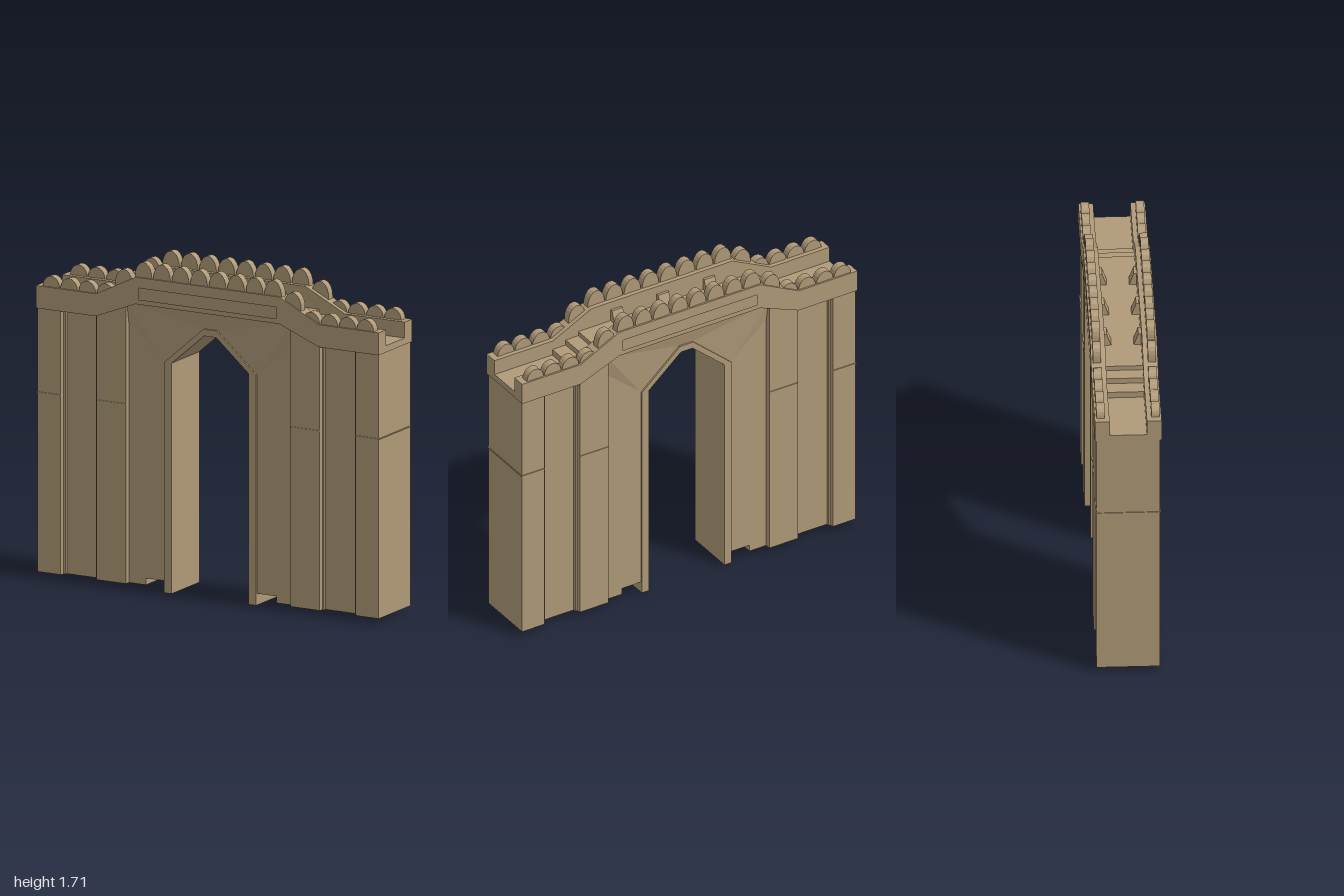
import * as THREE from 'three';

export function createModel() {
  const model = new THREE.Group();
  model.name = 'gateway';
  const stone = new THREE.MeshStandardMaterial({ color: 0xb09a78, flatShading: true });
  stone.name = 'sandstone';

  const add = (name, geometry, parent = model) => {
    const mesh = new THREE.Mesh(geometry, stone);
    mesh.name = name;
    parent.add(mesh);
    return mesh;
  };
  const outline = (pts) => new THREE.Shape(pts.map(([x, y]) => new THREE.Vector2(x, y)));
  // Full outline from its right half, listed from one centre end to the other
  const mirrored = (half) => [...half, ...half.slice().reverse().map(([x, y]) => [-x, y])];
  const slab = (shape, z0, z1) =>
    new THREE.ExtrudeGeometry(shape, { depth: z1 - z0, bevelEnabled: false }).translate(0, 0, z0);
  const box = (x0, x1, y0, y1, z0, z1) =>
    new THREE.BoxGeometry(Math.abs(x1 - x0), y1 - y0, z1 - z0)
      .translate((x0 + x1) / 2, (y0 + y1) / 2, (z0 + z1) / 2);

  // Piers: stepped plan with outer buttress, recessed panel and pilaster
  const planHalf = [
    [0.995, 0.16], [0.86, 0.16], [0.855, 0.14], [0.845, 0.14], [0.845, 0.125],
    [0.665, 0.125], [0.665, 0.14], [0.655, 0.14], [0.65, 0.16],
    [0.48, 0.16], [0.48, 0.13], [0.38, 0.13],
  ];
  const plan = [...planHalf, ...planHalf.slice().reverse().map(([x, z]) => [x, -z])];
  for (const s of [1, -1]) {
    const pier = new THREE.Group();
    pier.name = s > 0 ? 'leftPier' : 'rightPier';
    model.add(pier);
    const body = slab(outline(plan.map(([x, z]) => [x * s, z])), 0.025, 1.42);
    add('pierBody', body.rotateX(-Math.PI / 2), pier);
    const head = outline([[0.65, 1.4], [0.48, 1.4], [0.48, 1.5], [0.65, 1.43]].map(([x, y]) => [x * s, y]));
    add('pilasterHead', slab(head, -0.16, 0.16), pier);
    // Thin string courses
    add('buttressBand', box(s * 0.86, s * 0.999, 0.956, 0.962, -0.165, 0.165), pier);
    add('pilasterBand', box(s * 0.48, s * 0.65, 0.956, 0.962, -0.164, 0.164), pier);
  }

  // Wall around the arch
  add('archWall', slab(outline(mirrored([
    [0.04, 1.38], [0.24, 1.2], [0.24, 0.06], [0.38, 0.06], [0.38, 1.42], [0.48, 1.42], [0.48, 1.5],
  ])), -0.13, 0.13));

  // Projecting arch surround, reaching the ground
  add('archFrame', slab(outline(mirrored([
    [0.035, 1.365], [0.225, 1.2], [0.225, 0.0], [0.268, 0.0], [0.268, 1.2], [0.04, 1.4],
  ])), -0.14, 0.14));

  // Walkway with steps down to both ends
  add('walkway', slab(outline(mirrored([
    [0.4, 1.52], [0.5, 1.52], [0.5, 1.495], [0.575, 1.495], [0.575, 1.465],
    [0.655, 1.465], [0.655, 1.432], [0.999, 1.432], [0.999, 1.398], [0.65, 1.398], [0.4, 1.47],
  ])), -0.1, 0.1));

  // Merlon with an arched head
  const merlon = (x, base, h) => {
    const pts = [];
    for (let i = 0; i <= 10; i++) {
      const a = (i / 10) * Math.PI;
      pts.push([x + 0.05 * Math.cos(a), base + h * Math.sin(a)]);
    }
    pts.push([x - 0.05, base - 0.03], [x + 0.05, base - 0.03]);
    return slab(outline(pts), 0.118, 0.16);
  };

  const parapetPts = mirrored([
    [0.42, 1.63], [0.65, 1.515], [1, 1.515], [1, 1.398], [0.65, 1.398], [0.42, 1.49],
  ]);
  const spandrelPts = [
    [0.48, 1.49, 0.15], [-0.48, 1.49, 0.15],
    [-0.48, 1.38, 0.131], [-0.268, 1.2, 0.131], [-0.04, 1.4, 0.131],
    [0.04, 1.4, 0.131], [0.268, 1.2, 0.131], [0.48, 1.38, 0.131],
  ];

  for (const side of ['front', 'back']) {
    const face = new THREE.Group();
    face.name = side + 'Face';
    if (side === 'back') face.rotation.y = Math.PI;
    model.add(face);

    // Parapet with a long sunken panel
    add('parapetCore', slab(outline(parapetPts), 0.094, 0.152), face);
    const skin = outline(parapetPts);
    skin.holes.push(new THREE.Path([
      [-0.4, 1.515], [-0.4, 1.575], [0.4, 1.575], [0.4, 1.515],
    ].map(([x, y]) => new THREE.Vector2(x, y))));
    add('parapetSkin', slab(skin, 0.152, 0.169), face);

    // Sloping spandrel facets over the arch
    const spandrel = new THREE.BufferGeometry();
    spandrel.setAttribute('position', new THREE.Float32BufferAttribute(spandrelPts.flat(), 3));
    spandrel.setIndex([1, 2, 3, 1, 3, 4, 1, 4, 5, 1, 5, 0, 0, 5, 6, 0, 6, 7]);
    const flat = spandrel.toNonIndexed();
    flat.computeVertexNormals();
    add('spandrel', flat, face);

    // Merlons: eight on top, then stepping down each side
    for (let i = 0; i < 8; i++) add('topMerlon', merlon((i - 3.5) * 0.108, 1.63, 0.08), face);
    for (const s of [1, -1]) {
      add('slopeMerlon', merlon(s * 0.492, 1.585, 0.075), face);
      for (const x of [0.6, 0.706, 0.812, 0.916]) add('lowMerlon', merlon(s * x, 1.512, 0.06), face);
    }

    // Wedge braces behind the parapet
    for (const x of [-0.275, 0, 0.275]) {
      const wedge = slab(outline([[-0.095, 1.515], [-0.055, 1.515], [-0.08, 1.585], [-0.095, 1.585]]), -0.032, 0.032);
      add('wedgeBrace', wedge.rotateY(Math.PI / 2).translate(x, 0, 0), face);
    }
  }
  return model;
}
